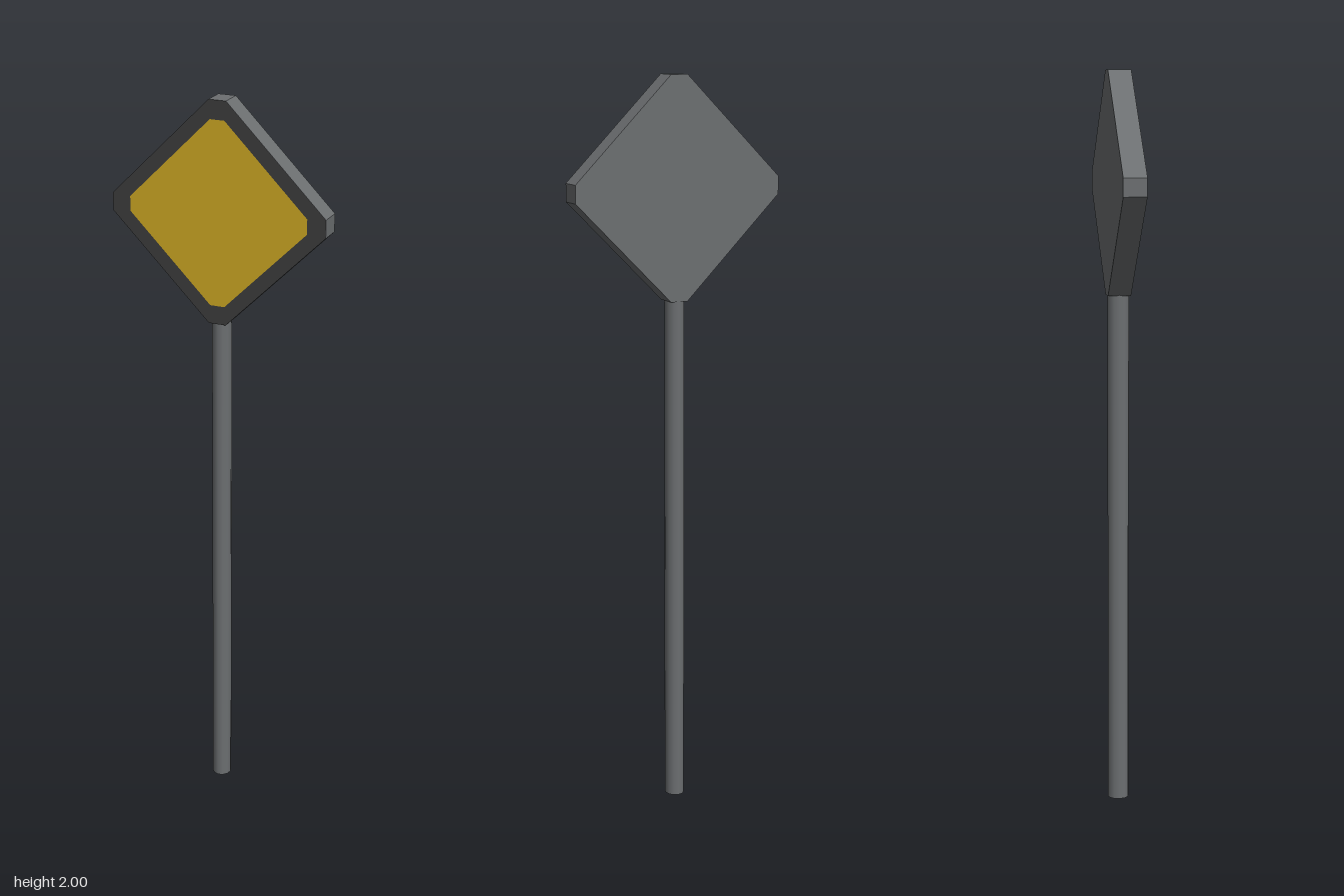
import * as THREE from 'three';

const SIGN_Y = 1.705;
const HALF_DEPTH = 0.031;

// Diamond outline with clipped corners: r = centre to corner, c = half the clipped edge
function diamondPoints(r, c) {
  return [
    [r, -c], [r, c], [c, r], [-c, r],
    [-r, c], [-r, -c], [-c, -r], [c, -r],
  ].map(([x, y]) => new THREE.Vector2(x, y));
}

export function createModel() {
  const material = (name, color) => {
    const m = new THREE.MeshStandardMaterial({ color });
    m.name = name;
    return m;
  };
  const grey = material('metalGrey', 0x6c6f71);
  const dark = material('borderDark', 0x3c3c3c);
  const yellow = material('signYellow', 0xcda823);

  const model = new THREE.Group();
  model.name = 'roadSign';
  const add = (name, geometry, mat, y, z = 0) => {
    const mesh = new THREE.Mesh(geometry, mat);
    mesh.name = name;
    mesh.position.set(0, y, z);
    model.add(mesh);
    return mesh;
  };

  // Slim round pole, slightly deeper than wide
  const poleHeight = 1.415;
  const pole = add('pole', new THREE.CylinderGeometry(0.029, 0.029, poleHeight, 12), grey, poleHeight / 2);
  pole.scale.x = 0.9;

  // Solid sign body: back and rim
  const outer = diamondPoints(0.297, 0.024);
  const inner = diamondPoints(0.247, 0.02);
  const body = new THREE.ExtrudeGeometry(new THREE.Shape(outer), { depth: HALF_DEPTH * 2, bevelEnabled: false });
  add('signBody', body, grey, SIGN_Y, -HALF_DEPTH);

  // Painted front: dark border around the yellow panel
  const border = new THREE.Shape(outer);
  border.holes.push(new THREE.Path(inner));
  add('signBorder', new THREE.ShapeGeometry(border), dark, SIGN_Y, HALF_DEPTH + 0.001);
  add('signPanel', new THREE.ShapeGeometry(new THREE.Shape(inner)), yellow, SIGN_Y, HALF_DEPTH + 0.001);

  return model;
}
